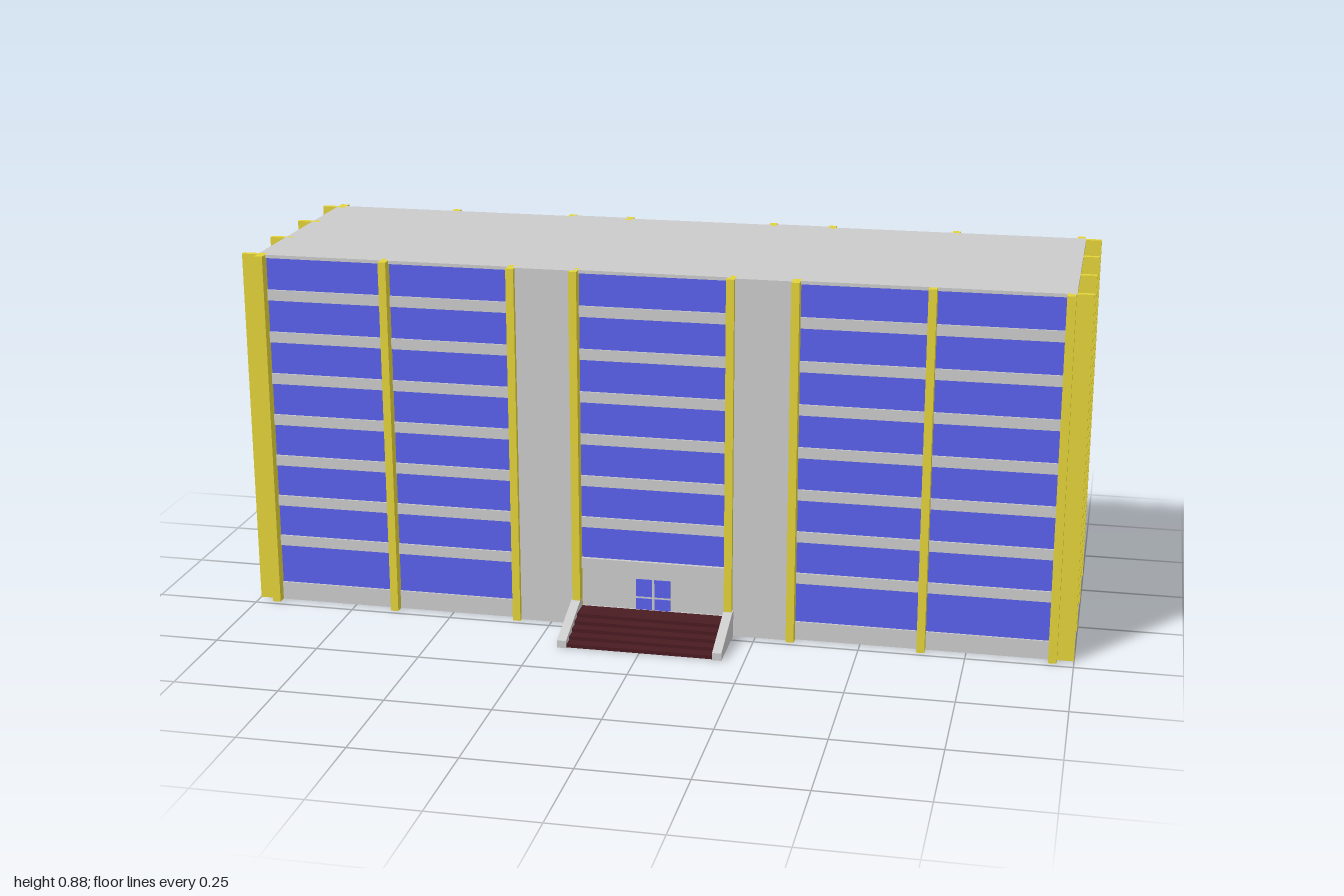
import * as THREE from 'three';

const mat = (color) => new THREE.MeshStandardMaterial({ color, flatShading: true });

export function createModel() {
  const building = new THREE.Group();
  building.name = 'officeBlock';
  const grey = mat(0xcccccc), blue = mat(0x5a61ec), yellow = mat(0xe3d33a), maroon = mat(0x4a1c22);

  const TOP = 0.876, FLOORS = 8, STEP = 0.1037;
  const FRONT = 0.215, BACK = -0.36, SIDE = 0.962, MID = (FRONT + BACK) / 2;

  // Box given by its limits on each axis
  function box(parent, name, material, x0, x1, y0, y1, z0, z1) {
    const mesh = new THREE.Mesh(new THREE.BoxGeometry(x1 - x0, y1 - y0, z1 - z0), material);
    mesh.position.set((x0 + x1) / 2, (y0 + y1) / 2, (z0 + z1) / 2);
    mesh.name = name;
    parent.add(mesh);
    return mesh;
  }

  // A wall is built along its local x, facing local +z, with z = 0 at the roof edge
  function wall(name, x, z, turn) {
    const group = new THREE.Group();
    group.name = name;
    group.position.set(x, 0, z);
    group.rotation.y = turn;
    building.add(group);
    return group;
  }

  // Window strips between projecting sill bands
  function bay(parent, x0, x1, firstFloor = 0) {
    for (let i = firstFloor; i < FLOORS; i++) {
      const bottom = i === 0 ? 0.045 : 0.142 + STEP * (i - 1) + 0.026;
      const top = 0.142 + STEP * i;
      box(parent, 'windowStrip', blue, x0, x1, bottom, Math.min(top, 0.868), -0.012, -0.006);
      if (i < FLOORS - 1) box(parent, 'sillBand', grey, x0, x1, top, top + 0.026, -0.016, -0.001);
    }
    if (firstFloor === 0) box(parent, 'baseBand', grey, x0, x1, 0, 0.045, -0.016, -0.001);
  }

  function pillar(parent, x, width, depth) {
    box(parent, 'pillar', yellow, x - width / 2, x + width / 2, 0, TOP, -0.018, depth);
  }

  // Roof slab; the underside of the block is open
  box(building, 'roof', grey, -SIDE, SIDE, 0.868, TOP, BACK, FRONT);

  // Long walls: outer bays, grey piers and a central bay above the ground floor
  const longWalls = [
    wall('frontWall', 0, FRONT, 0),
    wall('backWall', 0, BACK, Math.PI),
  ];
  for (const w of longWalls) {
    for (const s of [-1, 1]) {
      for (const [a, b] of [[0.335, 0.645], [0.645, 0.95]]) bay(w, Math.min(s * a, s * b), Math.max(s * a, s * b));
      box(w, 'pier', grey, s > 0 ? 0.187 : -0.333, s > 0 ? 0.333 : -0.187, 0, TOP, -0.016, 0.009);
      for (const x of [0.185, 0.335, 0.645]) pillar(w, s * x, 0.019, 0.021);
      pillar(w, s * 0.951, 0.02, 0.021);
    }
    bay(w, -0.18, 0.18, 1);
    box(w, 'groundFloorPanel', grey, -0.18, 0.18, 0.045, 0.142, -0.014, -0.005);
    box(w, 'groundFloorBand', grey, -0.18, 0.18, 0.142, 0.168, -0.016, 0.003);
    box(w, 'groundFloorBase', grey, -0.18, 0.18, 0, 0.045, -0.016, -0.001);
  }

  // End walls: three bays and four deep pillars
  for (const s of [-1, 1]) {
    const w = wall(s > 0 ? 'leftWall' : 'rightWall', s * SIDE, MID, s * Math.PI / 2);
    const posts = [-0.279, -0.095, 0.095, 0.279];
    for (let i = 0; i < 3; i++) bay(w, posts[i], posts[i + 1]);
    for (const x of posts) pillar(w, x, 0.014, 1 - SIDE);
  }

  // Glazed entrance door, two leaves of two panes
  const door = new THREE.Group();
  door.name = 'door';
  building.add(door);
  for (const [x0, x1] of [[-0.043, -0.004], [0.002, 0.041]]) {
    for (const [y0, y1] of [[0.045, 0.073], [0.078, 0.122]]) {
      box(door, 'doorPane', blue, x0, x1, y0, y1, FRONT - 0.006, FRONT - 0.003);
    }
  }

  // Entrance stairs as one stepped profile
  const stairs = new THREE.Group();
  stairs.name = 'stairs';
  building.add(stairs);
  function extrudeAcross(name, points, x0, x1, material) {
    const shape = new THREE.Shape(points.map(([z, y]) => new THREE.Vector2(-z, y)));
    const geometry = new THREE.ExtrudeGeometry(shape, { depth: x1 - x0, bevelEnabled: false });
    geometry.rotateY(Math.PI / 2).translate(x0, 0, 0);
    const mesh = new THREE.Mesh(geometry, material);
    mesh.name = name;
    stairs.add(mesh);
  }
  const STEPS = 5, z0 = FRONT - 0.001, z1 = 0.373;
  const profile = [[z0, 0], [z1, 0]];
  for (let i = 0; i < STEPS; i++) {
    const y = 0.045 * (i + 1) / STEPS;
    profile.push([z1 - i * 0.026, y]);
    profile.push([i === STEPS - 1 ? z0 : z1 - (i + 1) * 0.026, y]);
  }
  extrudeAcross('steps', profile, -0.175, 0.175, maroon);

  // Sloping cheek walls beside the steps
  const cheek = [[0.22, 0], [0.378, 0], [0.378, 0.018], [0.238, 0.065], [0.22, 0.065]];
  for (const x of [-0.197, 0.175]) extrudeAcross('cheekWall', cheek, x, x + 0.022, grey);

  return building;
}
